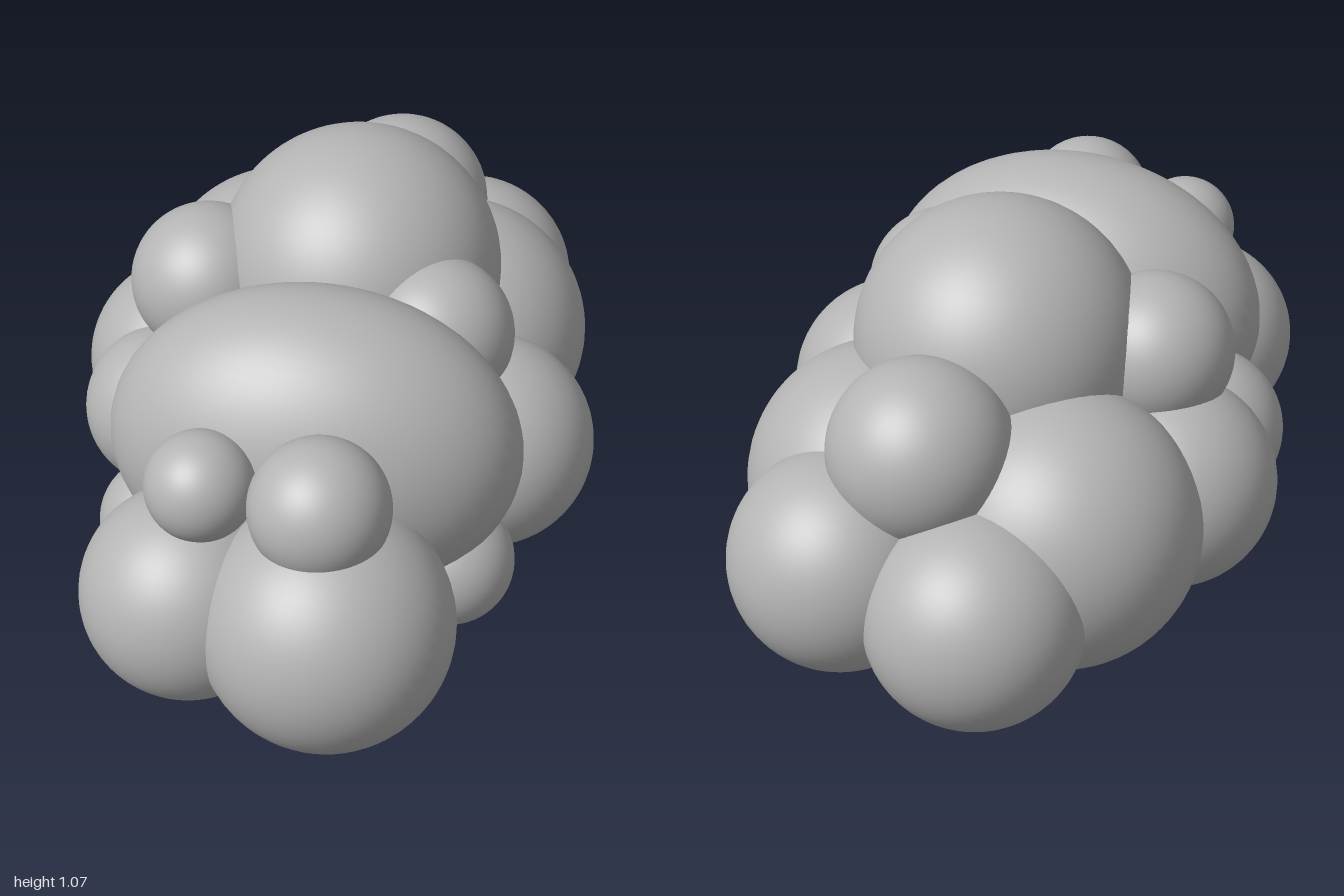
import * as THREE from 'three';
import { toCreasedNormals } from 'three/addons/utils/BufferGeometryUtils.js';

export function createModel() {
  const group = new THREE.Group();
  group.name = 'puffyBush';
  const grey = new THREE.MeshStandardMaterial({ color: 0xb4b4b4 });
  grey.name = 'soft grey';

  // one shared ball, scaled for every puff
  const ball = new THREE.SphereGeometry(1, 56, 36);
  const puff = (name, x, y, z, rx, ry = rx, rz = rx, yaw = 0) => {
    const m = new THREE.Mesh(ball, grey);
    m.name = name;
    m.position.set(x, y, z);
    m.scale.set(rx, ry, rz);
    m.rotation.y = yaw;
    group.add(m);
  };

  // central masses
  puff('crownPuff', -0.01, 0.714, -0.16, 0.363);
  puff('frontShoulderPuff', 0.128, 0.545, 0.34, 0.51, 0.407, 0.33, 0.3);

  // front lobes and the two small puffs on top of them
  puff('frontLeftPuff', 0.34, 0.315, 0.69, 0.31);
  puff('frontRightPuff', -0.015, 0.303, 0.73, 0.265);
  puff('smallFrontLeftPuff', 0.315, 0.648, 0.675, 0.17);
  puff('smallFrontRightPuff', 0.022, 0.636, 0.718, 0.134);

  // left side
  puff('upperLeftPuff', 0.285, 0.7, 0, 0.196);
  puff('leftPuff', 0.415, 0.38, -0.045, 0.272);
  puff('lowerLeftPuff', 0.463, 0.24, 0.27, 0.164);
  puff('backLeftPuff', 0.14, 0.39, -0.43, 0.35);

  // right side
  puff('upperRightPuff', -0.333, 0.695, 0.05, 0.198);
  puff('rightPuff', -0.425, 0.377, -0.01, 0.27);
  puff('frontSideRightPuff', -0.368, 0.392, 0.22, 0.21);
  puff('lowerRightPuff', -0.252, 0.227, 0.45, 0.162);
  puff('backRightPuff', -0.333, 0.39, -0.35, 0.35);

  // back
  puff('rearPuff', 0.05, 0.348, -0.725, 0.276);
  puff('rearRightPuff', -0.325, 0.31, -0.682, 0.27);
  puff('smallRearPuff', -0.095, 0.64, -0.585, 0.228);

  // flat base slab with rounded rim; outline given as x, z
  const outline = [
    [-0.03, 0.54], [0.2, 0.61], [0.4, 0.52], [0.45, 0.34], [0.39, 0], [0.2, -0.48],
    [0.02, -0.66], [-0.22, -0.715], [-0.37, -0.62], [-0.425, -0.38], [-0.31, 0], [-0.14, 0.44],
  ].map(([x, z]) => new THREE.Vector3(x, -z, 0));
  const rim = new THREE.CatmullRomCurve3(outline, true).getPoints(96).slice(0, -1);
  const shape = new THREE.Shape(rim.map((p) => new THREE.Vector2(p.x, p.y)));
  const slab = new THREE.ExtrudeGeometry(shape, {
    depth: 0.006, bevelThickness: 0.035, bevelSize: 0.035, bevelOffset: -0.035, bevelSegments: 10,
  });
  slab.rotateX(-Math.PI / 2);
  slab.translate(0, 0.038, 0);
  const base = new THREE.Mesh(toCreasedNormals(slab, 0.5), grey);
  base.name = 'base';
  group.add(base);

  return group;
}
